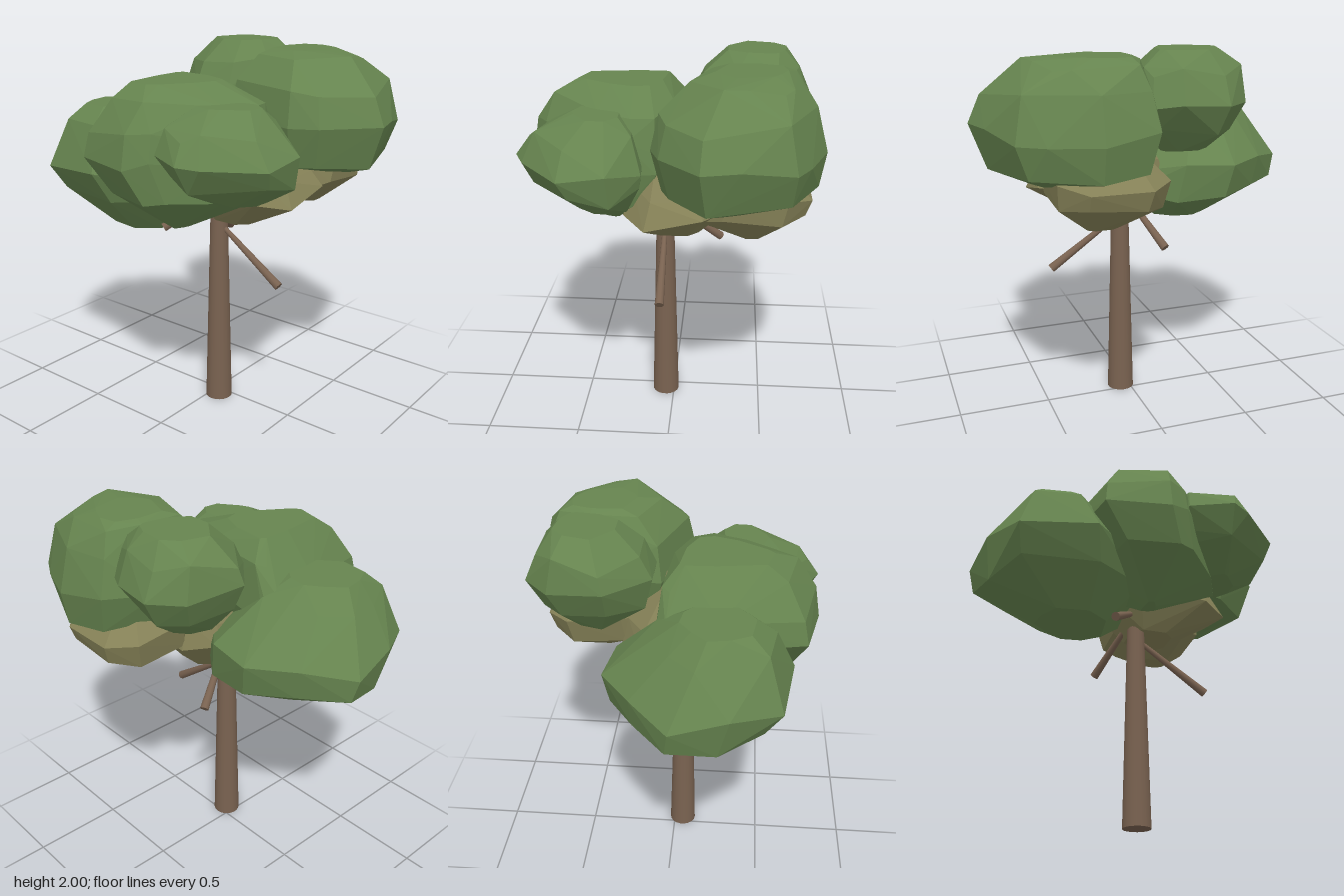
import * as THREE from 'three';
import { ConvexGeometry } from 'three/addons/geometries/ConvexGeometry.js';

const mat = (name, color) => {
  const m = new THREE.MeshStandardMaterial({ color, flatShading: name !== 'bark' });
  m.name = name;
  return m;
};

function seeded(seed) {
  let s = seed * 7919 + 17;
  return () => (s = (s * 16807) % 2147483647) / 2147483647;
}

// Faceted clump: the plan outline [x, z] is fitted into each level [y, x0, x1, z0, z1],
// and the levels are wrapped with flat faces
function clumpGeometry(seed, plan, levels) {
  const rand = seeded(seed);
  const outline = plan.map(([x, z]) => new THREE.Vector2(x, z));
  const box = new THREE.Box2().setFromPoints(outline);
  const size = box.getSize(new THREE.Vector2());
  const points = [];
  levels.forEach(([y, x0, x1, z0, z1], i) => {
    const isEnd = i === 0 || i === levels.length - 1;
    for (const p of outline) {
      const u = (p.x - box.min.x) / size.x;
      const v = (p.y - box.min.y) / size.y;
      const wobble = isEnd ? 0 : (rand() - 0.5) * 0.07;
      points.push(new THREE.Vector3(x0 + u * (x1 - x0), y + wobble, z0 + v * (z1 - z0)));
    }
  });
  return new ConvexGeometry(points);
}

export function createModel() {
  const tree = new THREE.Group();
  tree.name = 'tree';
  const bark = mat('bark', 0x796250);
  const leaf = mat('leaf green', 0x66844f);
  const olive = mat('olive leaf', 0x858157);

  const add = (name, geometry, material) => {
    const mesh = new THREE.Mesh(geometry, material);
    mesh.name = name;
    tree.add(mesh);
    return mesh;
  };

  // Tapered trunk
  add('trunk', new THREE.CylinderGeometry(0.042, 0.075, 1.35, 18), bark).position.set(0.049, 0.675, 0.048);

  // Bare branches, thicker at the free end
  const up = new THREE.Vector3(0, 1, 0);
  const branches = [
    ['leftBranch', [0.06, 1.05, 0.048], [0.45, 0.78, 0.048]],
    ['backBranch', [0.04, 1.2, 0.04], [-0.105, 0.935, -0.255]],
    ['frontBranch', [0.04, 1.21, 0.06], [-0.14, 1.05, 0.29]],
  ];
  for (const [name, from, to] of branches) {
    const a = new THREE.Vector3(...from);
    const b = new THREE.Vector3(...to);
    const dir = b.clone().sub(a);
    const mesh = add(name, new THREE.CylinderGeometry(0.024, 0.013, dir.length(), 10), bark);
    mesh.position.copy(a).add(b).multiplyScalar(0.5);
    mesh.quaternion.setFromUnitVectors(up, dir.normalize());
  }

  // Large clump over the front
  add('frontClump', clumpGeometry(3,
    [[-0.41, -0.03], [-0.4, 0.25], [-0.31, 0.68], [0.02, 0.75], [0.13, 0.68], [0.36, 0.42], [0.47, 0.2], [0.42, 0.06],
      [0.1, -0.04], [-0.36, -0.08]],
    [[1.85, -0.22, 0.14, 0.04, 0.5], [1.76, -0.29, 0.4, -0.04, 0.62], [1.62, -0.39, 0.45, -0.06, 0.72],
      [1.5, -0.41, 0.47, -0.08, 0.75], [1.31, -0.26, 0.45, 0, 0.68], [1.11, 0, 0.07, 0.28, 0.4]]), leaf);

  // Low clump on the right, spreading toward the trunk underneath
  add('rightClump', clumpGeometry(8,
    [[-0.89, 0.03], [-0.84, 0.31], [-0.71, 0.56], [-0.53, 0.56], [-0.3, 0.62], [-0.02, 0.4], [0.04, -0.1], [-0.18, -0.29],
      [-0.45, -0.33], [-0.68, -0.17]],
    [[1.69, -0.65, -0.3, 0.06, 0.42], [1.58, -0.74, -0.2, -0.08, 0.52], [1.36, -0.89, 0, -0.32, 0.62],
      [1.2, -0.86, 0.04, -0.29, 0.53], [1.03, -0.54, -0.16, -0.02, 0.35]]), leaf);

  // Tall clump at the back left
  add('backLeftClump', clumpGeometry(12,
    [[0.1, -0.71], [0.38, -0.76], [0.62, -0.67], [0.75, -0.6], [0.84, -0.35], [0.89, -0.17], [0.65, 0.03], [0.5, 0.08],
      [0.02, -0.07], [0, -0.45]],
    [[1.975, 0.15, 0.46, -0.56, -0.22], [1.93, 0.11, 0.64, -0.64, -0.1], [1.8, 0.04, 0.83, -0.7, 0.04],
      [1.62, 0, 0.89, -0.76, 0.08], [1.46, 0.06, 0.81, -0.73, 0.03], [1.37, 0.25, 0.65, -0.48, -0.2]]), leaf);

  // High clump at the back right
  add('backRightClump', clumpGeometry(21,
    [[-0.24, -0.71], [-0.02, -0.69], [0.11, -0.62], [0.14, -0.55], [0.11, -0.3], [0, -0.09], [-0.22, -0.09], [-0.45, -0.3], [-0.38, -0.58]],
    [[2, -0.3, 0.03, -0.57, -0.27], [1.9, -0.43, 0.12, -0.65, -0.15], [1.76, -0.45, 0.14, -0.71, -0.09],
      [1.63, -0.38, 0.08, -0.63, -0.13], [1.51, -0.27, 0, -0.5, -0.26]]), leaf);

  // Small clump at the front left
  add('frontLeftClump', clumpGeometry(27,
    [[0.4, 0.13], [0.55, 0.12], [0.7, 0.27], [0.69, 0.5], [0.46, 0.71], [0.36, 0.76], [0.15, 0.66], [0.1, 0.55], [0.22, 0.25]],
    [[1.77, 0.2, 0.5, 0.24, 0.48], [1.68, 0.13, 0.61, 0.17, 0.69], [1.54, 0.1, 0.7, 0.12, 0.76],
      [1.43, 0.14, 0.67, 0.13, 0.68], [1.31, 0.34, 0.52, 0.2, 0.46]]), leaf);

  // Olive clumps under the canopy
  const octagon = [[1, 0.55], [0.55, 1], [-0.55, 1], [-1, 0.55], [-1, -0.55], [-0.55, -1], [0.55, -1], [1, -0.55]];
  add('innerClump', clumpGeometry(33, octagon,
    [[1.66, 0.05, 0.25, -0.05, 0.08], [1.4, -0.1, 0.5, -0.25, 0.18], [1.27, -0.13, 0.56, -0.29, 0.23],
      [1.09, 0.02, 0.26, -0.14, 0.11]]), olive);
  add('lowBackClump', clumpGeometry(41, octagon,
    [[1.5, 0.1, 0.45, -0.58, -0.3], [1.4, 0, 0.56, -0.7, -0.17], [1.28, 0.03, 0.55, -0.67, -0.15],
      [1.14, 0.22, 0.38, -0.47, -0.36]]), olive);

  return tree;
}
